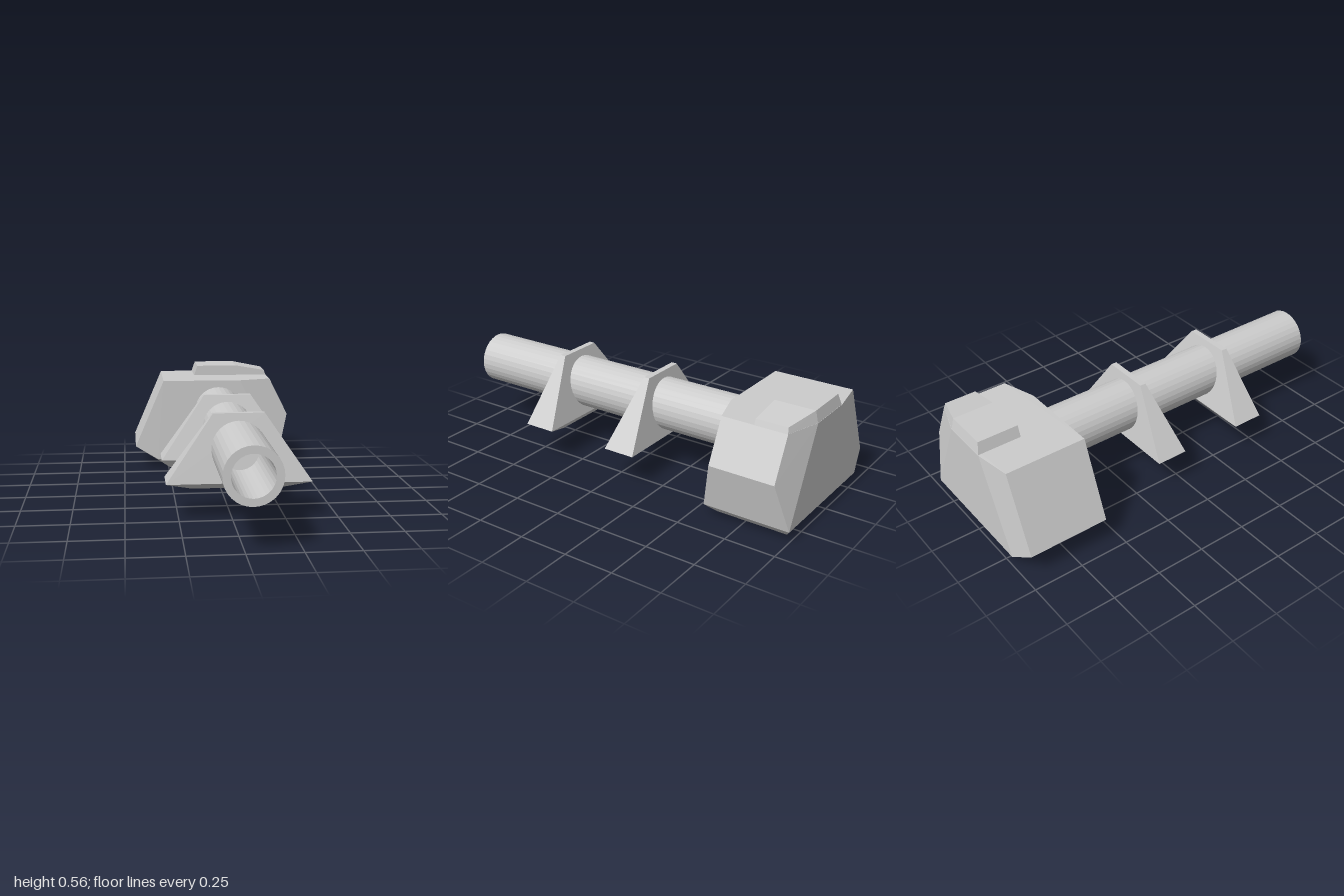
import * as THREE from 'three';
import { ConvexGeometry } from 'three/addons/geometries/ConvexGeometry.js';

const material = new THREE.MeshStandardMaterial({ color: 0xcccccc, flatShading: true });

function part(name, geometry) {
  const mesh = new THREE.Mesh(geometry, material);
  mesh.name = name;
  return mesh;
}

// Faceted solid from edges running along z: [x, y, zFront, zBack]
function facetedSolid(name, edges) {
  const points = edges.flatMap(([x, y, front, back]) => [
    new THREE.Vector3(x, y, front),
    new THREE.Vector3(x, y, back),
  ]);
  return part(name, new ConvexGeometry(points));
}

export function createModel() {
  const model = new THREE.Group();
  model.name = 'model';

  // Hollow barrel, open at the front and closed by the body behind
  const profile = [[0.13, -0.58], [0.13, 1], [0.095, 1], [0.095, -0.58]];
  const barrel = part('barrel', new THREE.LatheGeometry(
    profile.map(([r, y]) => new THREE.Vector2(r, y)), 32,
  ).rotateX(Math.PI / 2));
  barrel.position.set(0.032, 0.333, 0);
  model.add(barrel);

  // Tapered collars: narrow top, wide shoulders, chamfered foot
  const collars = [
    { name: 'frontCollar', z: 0.425, topZ: 0.438, footZ: 0.412 },
    { name: 'rearCollar', z: -0.073, topZ: -0.086, footZ: -0.06 },
  ];
  for (const { name, z, topZ, footZ } of collars) {
    model.add(facetedSolid(name, [
      [-0.088, 0.498, topZ + 0.015, topZ - 0.015],
      [0.153, 0.498, topZ + 0.015, topZ - 0.015],
      [-0.31, 0.178, z + 0.082, z - 0.082],
      [0.373, 0.178, z + 0.082, z - 0.082],
      [-0.185, 0.144, footZ + 0.042, footZ - 0.042],
      [0.25, 0.144, footZ + 0.042, footZ - 0.042],
    ]));
  }

  // Large asymmetric rear body
  model.add(facetedSolid('body', [
    [-0.275, 0.502, -0.56, -0.97],
    [-0.09, 0.5, -0.56, -1],
    [0.155, 0.5, -0.56, -1],
    [0.33, 0.5, -0.615, -0.945],
    [0.432, 0.295, -0.615, -0.945],
    [0.373, 0.055, -0.56, -1],
    [0.31, 0, -0.595, -0.96],
    [-0.243, 0, -0.595, -0.96],
    [-0.31, 0.055, -0.56, -1],
    [-0.435, 0.131, -0.565, -0.97],
  ]));

  // Raised plate on the back half of the body's top
  model.add(facetedSolid('topPlate', [
    [-0.09, 0.495, -0.78, -1],
    [-0.07, 0.556, -0.78, -0.985],
    [0.153, 0.556, -0.78, -0.985],
    [0.32, 0.527, -0.78, -0.94],
    [0.332, 0.495, -0.78, -0.945],
    [0.155, 0.495, -0.78, -1],
  ]));

  return model;
}
